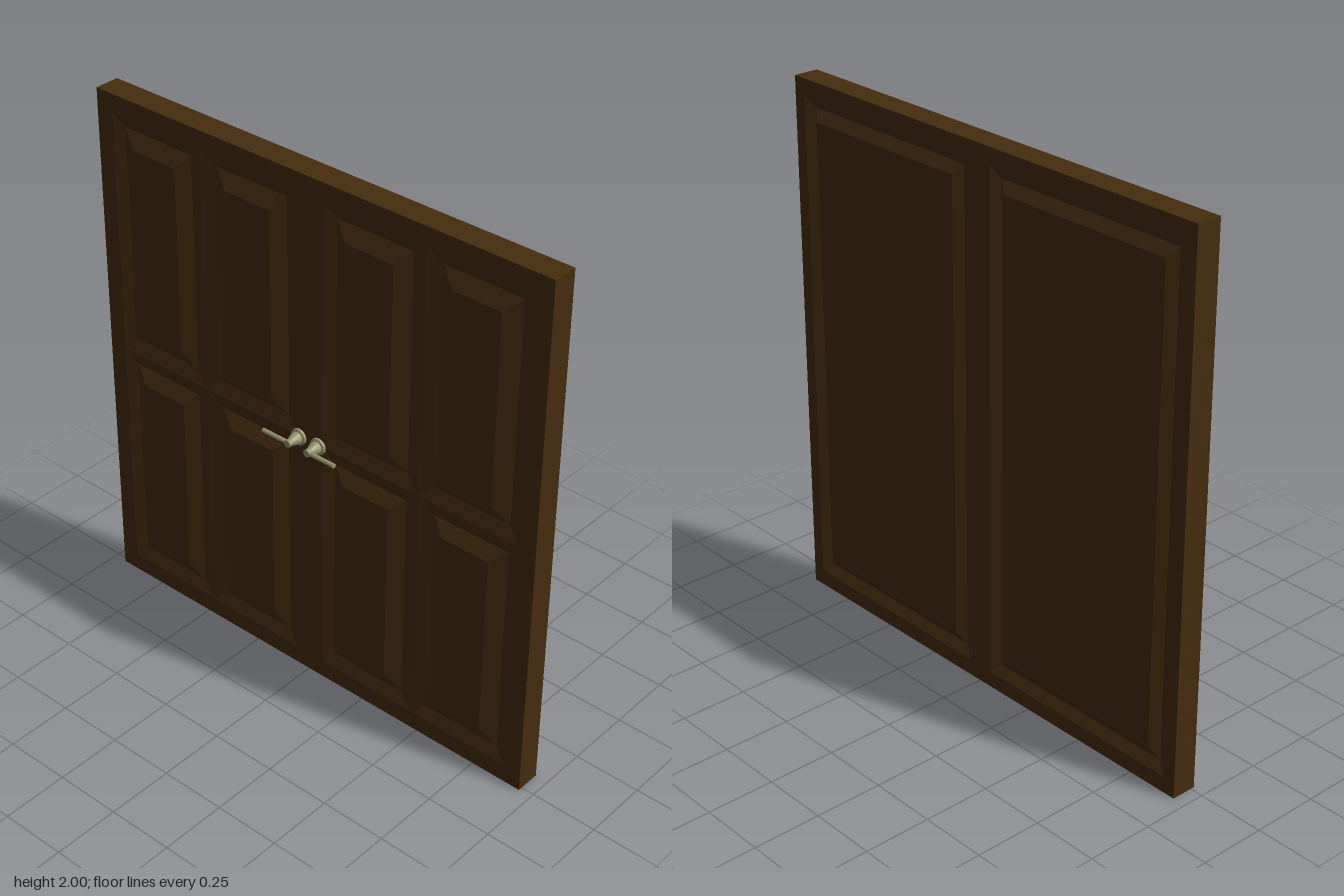
import * as THREE from 'three';

const wood = new THREE.MeshStandardMaterial({ color: 0x452c0e });
wood.name = 'dark wood';
const brass = new THREE.MeshStandardMaterial({ color: 0x95936a });
brass.name = 'aged brass';

// Rectangles are [x0, x1, y0, y1]; mirror one across x = 0 for the other leaf
const flip = ([x0, x1, y0, y1], s) => (s > 0 ? [x0, x1, y0, y1] : [-x1, -x0, y0, y1]);
const corners = ([x0, x1, y0, y1]) => [[x0, y0], [x1, y0], [x1, y1], [x0, y1]];
const toPoints = (r) => corners(r).map(([x, y]) => new THREE.Vector2(x, y));

function add(parent, name, geometry, material) {
  const mesh = new THREE.Mesh(geometry, material);
  mesh.name = name;
  parent.add(mesh);
  return mesh;
}

// Rectangular frame with one opening, from z0 to z1
function frameGeometry(outer, opening, z0, z1) {
  const shape = new THREE.Shape(toPoints(outer));
  shape.holes.push(new THREE.Path(toPoints(opening)));
  const g = new THREE.ExtrudeGeometry(shape, { depth: z1 - z0, bevelEnabled: false });
  return g.translate(0, 0, z0);
}

// Bevelled panel from nested rectangles at given depths, closed by the last one
function panelGeometry(rects, depths, facing) {
  const pos = [];
  const rings = rects.map((r, i) => corners(r).map(([x, y]) => [x, y, depths[i]]));
  const quad = (a, b, c, d) => {
    const order = facing > 0 ? [a, b, c, a, c, d] : [a, c, b, a, d, c];
    order.forEach((p) => pos.push(...p));
  };
  for (let i = 0; i + 1 < rings.length; i++) {
    for (let k = 0; k < 4; k++) {
      const n = (k + 1) % 4;
      quad(rings[i][k], rings[i][n], rings[i + 1][n], rings[i + 1][k]);
    }
  }
  quad(...rings[rings.length - 1]);
  const g = new THREE.BufferGeometry();
  g.setAttribute('position', new THREE.Float32BufferAttribute(pos, 3));
  g.computeVertexNormals();
  return g;
}

function createLeaf(s) {
  const leaf = new THREE.Group();
  leaf.name = s > 0 ? 'leftLeaf' : 'rightLeaf';
  const outline = flip([0, 0.95, 0, 2], s);
  const backOpening = [0.055, 0.9, 0.06, 1.94];
  add(leaf, 'frontFrame', frameGeometry(outline, flip([0.06, 0.88, 0.07, 1.93], s), -0.03, 0.015), wood);
  add(leaf, 'backFrame', frameGeometry(outline, flip(backOpening, s), -0.08, -0.03), wood);

  // Four raised panels on the front: opening, groove and plateau edges
  const columns = [
    [[0.06, 0.476], [0.105, 0.415], [0.16, 0.355]],
    [[0.476, 0.88], [0.53, 0.835], [0.585, 0.775]],
  ];
  const rows = [
    [[0.07, 1], [0.12, 0.945], [0.18, 0.89]],
    [[1, 1.93], [1.055, 1.885], [1.11, 1.825]],
  ];
  for (const col of columns) {
    for (const row of rows) {
      const rects = col.map((c, i) => flip([...c, ...row[i]], s));
      add(leaf, 'frontPanel', panelGeometry(rects, [0.015, 0, 0.025], 1), wood);
    }
  }

  // One tall raised panel on the back
  const backRects = [backOpening, [0.09, 0.865, 0.1, 1.9], [0.125, 0.83, 0.14, 1.86]];
  add(leaf, 'backPanel', panelGeometry(backRects.map((r) => flip(r, s)), [-0.08, -0.06, -0.083], -1), wood);
  return leaf;
}

function createHandle(s) {
  const handle = new THREE.Group();
  handle.name = s > 0 ? 'leftHandle' : 'rightHandle';
  handle.position.set(s * 0.043, 1, 0);
  // Stepped rosette and tapering neck
  const profile = [[0, 0.014], [0.031, 0.014], [0.031, 0.024], [0.023, 0.027], [0.022, 0.04], [0.014, 0.062], [0, 0.062]];
  const base = new THREE.LatheGeometry(profile.map(([r, z]) => new THREE.Vector2(r, z)), 16)
    .toNonIndexed();
  base.computeVertexNormals();
  add(handle, 'rosetteAndNeck', base.rotateX(Math.PI / 2), brass);
  // Round hub and straight lever
  const hub = add(handle, 'hub', new THREE.CylinderGeometry(0.014, 0.014, 0.018, 16), brass);
  hub.rotation.x = Math.PI / 2;
  hub.position.z = 0.069;
  const lever = add(handle, 'lever', new THREE.CylinderGeometry(0.0085, 0.0085, 0.125, 10), brass);
  lever.rotation.z = Math.PI / 2;
  lever.position.set(s * 0.054, 0, 0.069);
  return handle;
}

export function createModel() {
  const door = new THREE.Group();
  door.name = 'doubleDoor';
  for (const s of [-1, 1]) door.add(createLeaf(s), createHandle(s));
  return door;
}
